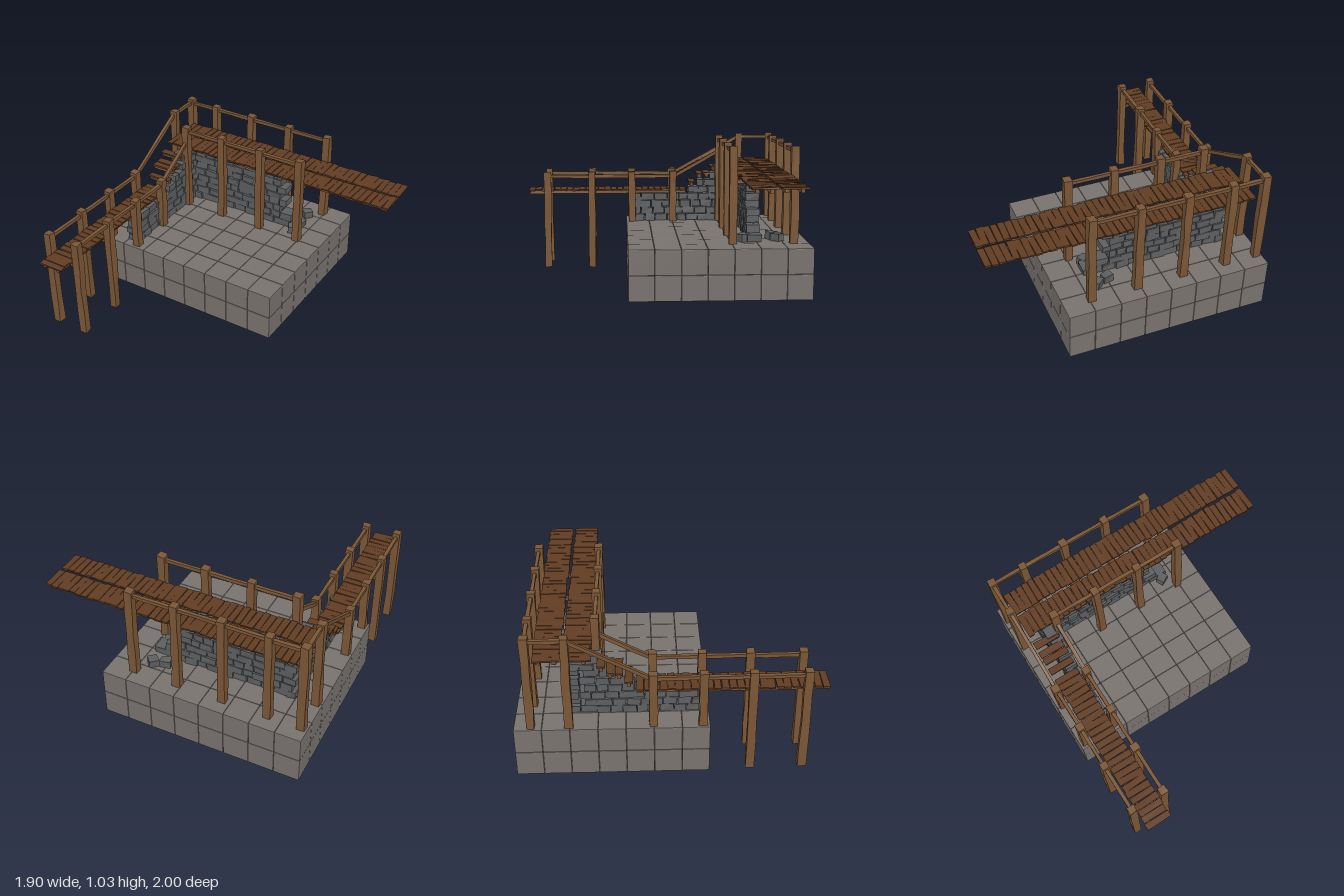
import * as THREE from 'three';
import { mergeVertices } from 'three/addons/utils/BufferGeometryUtils.js';
import { RoundedBoxGeometry } from 'three/addons/geometries/RoundedBoxGeometry.js';

const mat = (color) => new THREE.MeshStandardMaterial({ color, flatShading: true });

export function createModel() {
  const root = new THREE.Group();
  const timber = mat(0x7a5636), plank = mat(0x613c23), stone = mat(0x5c5e60), slab = mat(0x78726e);

  let seed = 7;
  const rand = (a, b) => {
    seed = (seed * 16807) % 2147483647;
    return a + (b - a) * seed / 2147483647;
  };

  const group = (name) => {
    const g = new THREE.Group();
    g.name = name;
    root.add(g);
    return g;
  };

  // Box whose shared corners are nudged for a hand-hewn look
  function roughBox(parent, name, material, size, pos, rough = 0.003, segs = [1, 1, 1]) {
    let geo = new THREE.BoxGeometry(...size, ...segs);
    geo.deleteAttribute('normal');
    geo.deleteAttribute('uv');
    geo = mergeVertices(geo);
    const p = geo.attributes.position;
    for (let i = 0; i < p.count; i++) {
      p.setXYZ(i, p.getX(i) + rand(-rough, rough), p.getY(i) + rand(-rough, rough), p.getZ(i) + rand(-rough, rough));
    }
    geo = geo.toNonIndexed();
    geo.computeVertexNormals();
    const mesh = new THREE.Mesh(geo, material);
    mesh.name = name;
    mesh.position.set(...pos);
    parent.add(mesh);
    return mesh;
  }

  // Square beam between two points
  function beam(parent, name, a, b, w, h = w) {
    const A = new THREE.Vector3(...a), B = new THREE.Vector3(...b);
    const mid = A.clone().add(B).multiplyScalar(0.5);
    const mesh = roughBox(parent, name, timber, [w, h, A.distanceTo(B)], mid.toArray(), 0.002, [1, 1, 3]);
    mesh.lookAt(B);
    return mesh;
  }

  // Stone platform: 8 x 2 x 7 blocks
  const base = group('platform');
  const bx = 1.42 / 8, by = 0.355 / 2, bz = 1.245 / 7;
  const blockGeo = new RoundedBoxGeometry(bx - 0.001, by - 0.001, bz - 0.001, 1, 0.005);
  for (let i = 0; i < 8; i++) for (let j = 0; j < 2; j++) for (let k = 0; k < 7; k++) {
    const m = new THREE.Mesh(blockGeo, slab);
    m.name = 'platformBlock';
    m.position.set(-0.952 + (i + 0.5) * bx, (j + 0.5) * by, -1 + (k + 0.5) * bz);
    base.add(m);
  }

  // Ruined walls: rows of uneven stones, each row with its own broken end
  const walls = group('walls');
  const rowH = 0.0542;
  function wall(name, start, ends, place) {
    ends.forEach((end, r) => {
      let s = start + (r % 2) * 0.025;
      while (s < end - 0.02) {
        let len = rand(0.065, 0.11);
        if (end - s - len < 0.045) len = end - s;
        const y = 0.355 + (r + 0.5) * rowH;
        place(name, s + len / 2, y, len - 0.005, rowH - 0.004);
        s += len;
      }
    });
  }
  wall('backWallStone', -0.78, [0.25, 0.17, 0.07, 0.12, 0.07, 0.12, 0.07, 0.08], (n, s, y, len, h) =>
    roughBox(walls, n, stone, [len, h, rand(0.085, 0.1)], [s, y, -0.63 + rand(-0.005, 0.005)], 0.004));
  wall('sideWallStone', -0.58, [0.18, 0.18, 0.18, 0.18, -0.23, -0.3, -0.4, -0.43], (n, s, y, len, h) =>
    roughBox(walls, n, stone, [rand(0.085, 0.1), h, len], [-0.73 + rand(-0.005, 0.005), y, s], 0.004));
  [[0.12, -0.76, 0.3], [0.2, -0.79, 0.8], [0.2, -0.55, 0.5]].forEach(([x, z, a]) => {
    roughBox(walls, 'rubble', stone, [0.07, 0.055, 0.06], [x, 0.3825, z], 0.005).rotation.y = a;
  });

  // Posts
  const posts = group('posts');
  const post = (x, z, bottom, top) =>
    roughBox(posts, 'post', timber, [0.053, top - bottom, 0.053], [x, (top + bottom) / 2, z], 0.004, [1, 4, 1]);
  const bays = [-0.68, -0.365, -0.04, 0.28];
  for (const x of bays) {
    post(x, -0.47, 0.355, 1.02);
    post(x, -0.89, 0.355, 1.02);
  }
  post(-0.91, -0.89, 0.355, 1.02);
  post(-0.91, -0.65, 0.355, 1.02);
  const lowZ = [-0.115, 0.2, 0.51, 0.85];
  for (const z of lowZ) for (const x of [-0.907, -0.672]) post(x, z, z > 0.3 ? 0 : 0.355, 0.743);

  // Handrails, bay by bay
  const rails = group('handrails');
  const rail = (a, b) => beam(rails, 'handrail', a, b, 0.024);
  for (let i = 0; i < 3; i++) {
    for (const z of [-0.47, -0.89]) rail([bays[i], 0.985, z], [bays[i + 1], 0.985, z]);
    for (const x of [-0.907, -0.672]) rail([x, 0.705, lowZ[i]], [x, 0.708, lowZ[i + 1]]);
  }
  rail([-0.91, 0.985, -0.89], [-0.68, 0.985, -0.89]);
  rail([-0.91, 0.99, -0.89], [-0.91, 0.99, -0.65]);
  rail([-0.907, 0.7, -0.115], [-0.91, 0.995, -0.65]);
  rail([-0.672, 0.7, -0.115], [-0.68, 0.9, -0.47]);

  // Upper walkway: cross beams, stringers and two rows of planks
  const upper = group('upperWalkway');
  for (const x of bays) beam(upper, 'crossBeam', [x, 0.782, -0.46], [x, 0.782, -0.89], 0.024);
  beam(upper, 'crossBeam', [-0.9, 0.782, -0.65], [-0.68, 0.782, -0.65], 0.024);
  for (const z of [-0.54, -0.63, -0.72, -0.82]) {
    beam(upper, 'stringer', [-0.87, 0.805, z], [0.94, 0.805, z], 0.025, 0.022);
  }
  const nUp = 40, stepX = 1.83 / nUp;
  for (const z of [-0.775, -0.585]) for (let i = 0; i < nUp; i++) {
    const m = roughBox(upper, 'plank', plank, [stepX - 0.003, 0.011, rand(0.168, 0.178)],
      [-0.88 + (i + 0.5) * stepX, 0.823 + rand(-0.002, 0.002), z + rand(-0.004, 0.004)], 0.002);
    m.rotation.y = rand(-0.03, 0.03);
  }

  // Lower walkway
  const lower = group('lowerWalkway');
  for (const z of lowZ) beam(lower, 'crossBeam', [-0.907, 0.555, z], [-0.672, 0.555, z], 0.022);
  for (const x of [-0.845, -0.735]) beam(lower, 'stringer', [x, 0.577, -0.22], [x, 0.577, 0.99], 0.025, 0.022);
  const nLow = 25, stepZ = 1.22 / nLow;
  for (let i = 0; i < nLow; i++) {
    const m = roughBox(lower, 'plank', plank, [rand(0.168, 0.18), 0.011, stepZ - 0.004],
      [-0.79 + rand(-0.003, 0.003), 0.594 + rand(-0.002, 0.002), -0.22 + (i + 0.5) * stepZ], 0.002);
    m.rotation.y = rand(-0.03, 0.03);
  }

  // Stairs joining the two walkways
  const stairs = group('stairs');
  [[-0.265, 0.655], [-0.325, 0.715], [-0.38, 0.722], [-0.435, 0.772]].forEach(([z, y]) => {
    roughBox(stairs, 'stairTread', plank, [0.178, 0.012, 0.05], [-0.79, y, z], 0.003);
    beam(stairs, 'treadSupport', [-0.875, y - 0.018, z], [-0.705, y - 0.018, z], 0.022);
  });

  return root;
}
